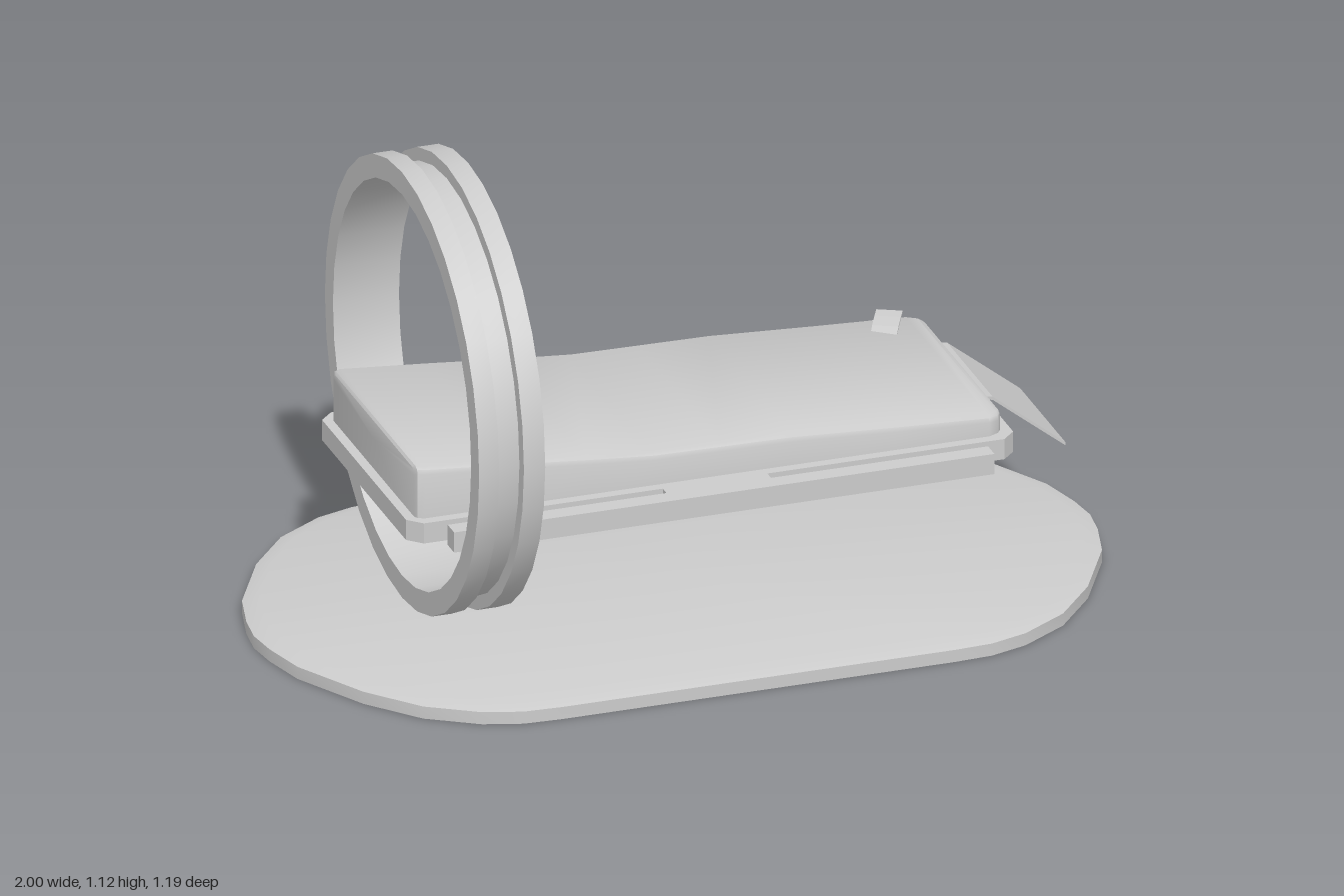
import * as THREE from 'three';
import { toCreasedNormals } from 'three/addons/utils/BufferGeometryUtils.js';

const CZ = -0.01; // centre line of the table and ring

const grey = new THREE.MeshStandardMaterial({ color: 0xcccccc });

function add(parent, name, geometry) {
  const mesh = new THREE.Mesh(geometry, grey);
  mesh.name = name;
  parent.add(mesh);
  return mesh;
}

const polygon = (pts) => new THREE.Shape(pts.map(([x, y]) => new THREE.Vector2(x, y)));

// Rectangle with cut corners
function chamferRect(hx, hz, c) {
  return polygon([
    [-hx + c, -hz], [hx - c, -hz], [hx, -hz + c], [hx, hz - c],
    [hx - c, hz], [-hx + c, hz], [-hx, hz - c], [-hx, -hz + c],
  ]);
}

// Joins closed loops of equal length into a solid with flat end caps
function loft(loops, crease) {
  const pos = [];
  const tri = (...corners) => corners.forEach((p) => pos.push(...p));
  const centre = (loop) => [0, 1, 2].map((k) => loop.reduce((s, p) => s + p[k], 0) / loop.length);
  const first = loops[0];
  const last = loops[loops.length - 1];
  const [c0, c1] = [centre(first), centre(last)];
  for (let i = 0; i < first.length; i++) {
    const j = (i + 1) % first.length;
    for (let k = 0; k + 1 < loops.length; k++) {
      const [a, b] = [loops[k], loops[k + 1]];
      tri(a[i], b[i], b[j]);
      tri(a[i], b[j], a[j]);
    }
    tri(c0, first[i], first[j]);
    tri(c1, last[j], last[i]);
  }
  const g = new THREE.BufferGeometry();
  g.setAttribute('position', new THREE.Float32BufferAttribute(pos, 3));
  return toCreasedNormals(g, crease);
}

// Oval floor plate: straight sides, tapered round ends, bevelled upper rim
function basePlate() {
  const quarter = [[0.47, 0.593], [0.56, 0.588], [0.65, 0.56], [0.765, 0.487],
    [0.866, 0.367], [0.962, 0.19], [0.99, 0.08]];
  const end = [
    ...quarter.map(([x, z]) => [x, -z]), [1, 0],
    ...[...quarter].reverse(),
  ];
  const outline = [...end, ...end.map(([x, z]) => [-x, -z])];
  const level = (inset, y) => outline.map(([x, z]) => [
    Math.sign(x) * (0.47 + (Math.abs(x) - 0.47) * (1 - inset / 0.53)),
    y,
    z * (1 - inset / 0.593),
  ]);
  return loft([level(0, 0), level(0, 0.03), level(0.04, 0.042)], 0.35);
}

// Scanner ring with a channel round the outside, axis along x
function ringGeometry() {
  const profile = [
    [0.473, -0.079], [0.528, -0.079], [0.528, -0.031], [0.497, -0.031],
    [0.497, 0.028], [0.528, 0.028], [0.528, 0.079], [0.473, 0.079], [0.473, -0.079],
  ].map(([r, h]) => new THREE.Vector2(r, h));
  const g = toCreasedNormals(new THREE.LatheGeometry(profile, 32), 0.5);
  g.rotateZ(-Math.PI / 2);
  return g;
}

// Cushion set into the frame: cross-sections [x, top, half width], rounded at
// the corners and top edges
function cushionGeometry() {
  const stations = [
    [-0.71, 0.516, 0.276], [-0.705, 0.521, 0.287], [-0.69, 0.521, 0.294],
    [-0.485, 0.504, 0.294], [-0.3, 0.487, 0.294], [-0.14, 0.474, 0.294],
    [0.02, 0.472, 0.294], [0.19, 0.47, 0.294], [0.45, 0.456, 0.294],
    [0.66, 0.446, 0.294], [0.685, 0.444, 0.282], [0.695, 0.441, 0.266],
  ];
  const loops = stations.map(([x, top, w]) => {
    const half = [[w, 0.36], [w, top - 0.015], [w - 0.004, top - 0.005], [w - 0.014, top]];
    return [
      ...half.map(([z, y]) => [x, y, z]),
      ...half.reverse().map(([z, y]) => [x, y, -z]),
    ];
  });
  return loft(loops, 0.7);
}

// Thin sheet: a side path given thickness and extruded across
function sheet(path, width, thickness) {
  const outline = polygon([...path, ...path.map(([x, y]) => [x, y + thickness]).reverse()]);
  const g = new THREE.ExtrudeGeometry(outline, { depth: width, bevelEnabled: false });
  g.translate(0, 0, -width / 2);
  return g;
}

export function createModel() {
  const model = new THREE.Group();
  model.name = 'scannerBed';

  add(model, 'basePlate', basePlate());
  add(model, 'scannerRing', ringGeometry()).position.set(-0.563, 0.595, CZ);

  const table = new THREE.Group();
  table.name = 'table';
  table.position.z = CZ;
  model.add(table);

  // Frame around the cushion
  const frame = chamferRect(0.726, 0.319, 0.032);
  frame.holes.push(chamferRect(0.69, 0.287, 0.02));
  const frameGeo = new THREE.ExtrudeGeometry(frame, { depth: 0.05, bevelEnabled: false });
  frameGeo.rotateX(-Math.PI / 2);
  add(table, 'tableFrame', frameGeo).position.set(-0.007, 0.348, 0);

  add(table, 'cushion', cushionGeometry());

  // Side rails joined to the frame by a middle bracket
  for (const s of [1, -1]) {
    const label = s > 0 ? 'front' : 'back';
    add(table, label + 'Rail', new THREE.BoxGeometry(1.292, 0.05, 0.044))
      .position.set(-0.007, 0.373, s * 0.366);
    add(table, label + 'RailBracket', new THREE.BoxGeometry(0.25, 0.05, 0.03))
      .position.set(-0.005, 0.373, s * 0.331);
  }

  // Hanging sheet at the foot end
  add(table, 'footSheet', sheet([[0.68, 0.428], [0.716, 0.42], [0.89, 0.281]], 0.31, 0.008));

  // Small loose tag on the foot corner
  const tag = add(table, 'cornerTag',
    sheet([[-0.05, -0.014], [-0.02, -0.004], [0.02, 0.002], [0.05, 0.004]], 0.06, 0.005));
  tag.position.set(0.602, 0.456, -0.245);
  tag.rotation.y = 1.1;

  return model;
}
